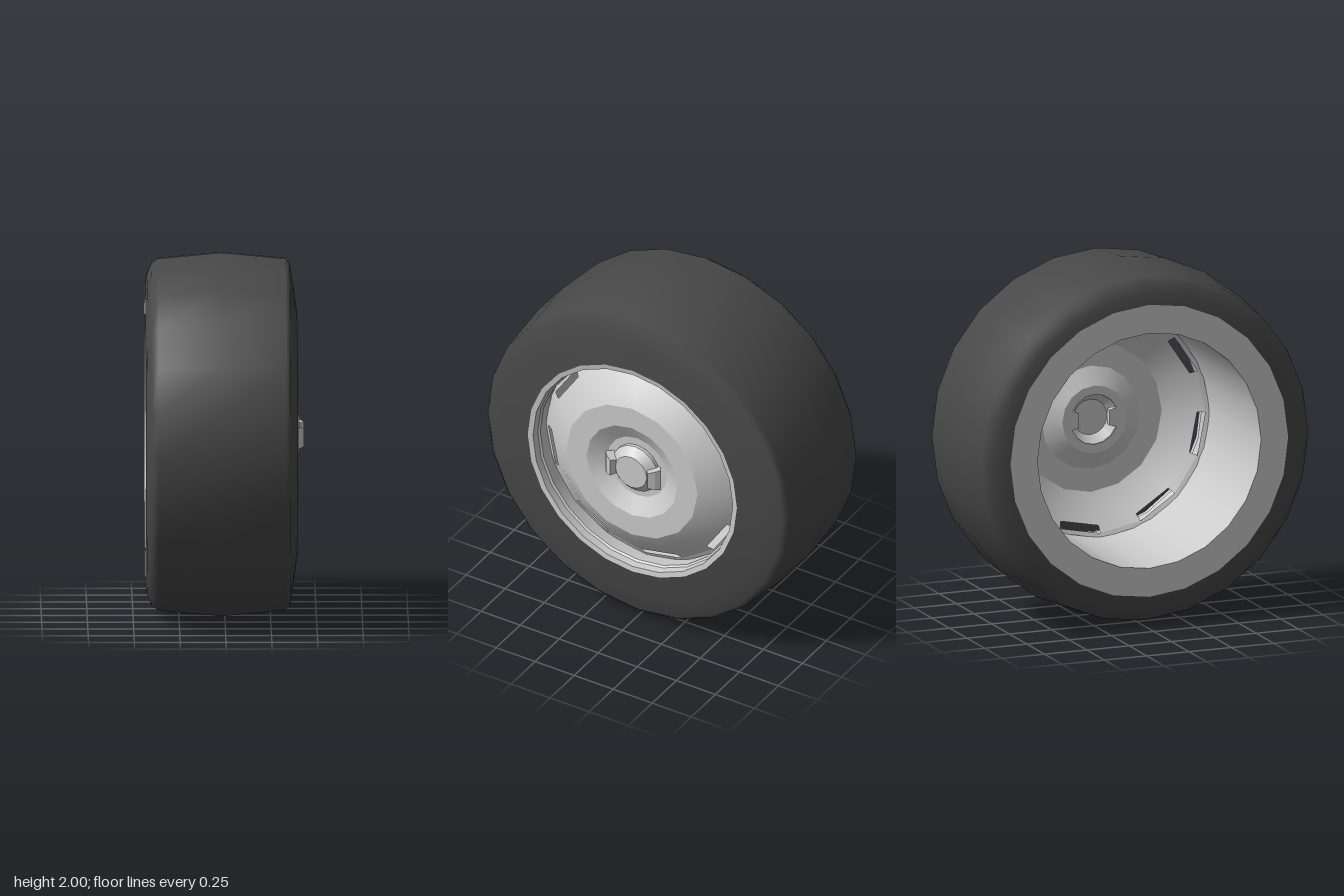
import * as THREE from 'three';
import { mergeGeometries } from 'three/addons/utils/BufferGeometryUtils.js';

const rubber = new THREE.MeshStandardMaterial({ color: 0x484848 });
const metal = new THREE.MeshStandardMaterial({ color: 0xcccccc, side: THREE.DoubleSide });

// Surface of revolution around the x axis; profile points are [x, radius].
function turn(profile, segments, start = 0, length = Math.PI * 2) {
  const points = profile.map(([x, r]) => new THREE.Vector2(r, x));
  return new THREE.LatheGeometry(points, segments, start, length).rotateZ(-Math.PI / 2);
}

// Several profiles joined in one mesh, with a sharp edge between each pair.
function turned(name, material, segments, profiles) {
  const mesh = new THREE.Mesh(mergeGeometries(profiles.map((p) => turn(p, segments))), material);
  mesh.name = name;
  return mesh;
}

export function createModel() {
  const model = new THREE.Group();
  model.name = 'wheel';
  const wheel = new THREE.Group();
  wheel.name = 'wheelParts';
  wheel.position.y = 1;
  model.add(wheel);

  // Tyre: inner sidewall, crowned tread, outer sidewall
  wheel.add(turned('tyre', rubber, 24, [[
    [-0.435, 0.82], [-0.425, 0.88], [-0.4, 0.94], [-0.365, 0.967], [-0.02, 1],
    [0.33, 0.967], [0.355, 0.94], [0.375, 0.82], [0.395, 0.67],
  ]]));

  // Rim: flat back ring, open barrel and stepped front lip
  wheel.add(turned('rimBack', metal, 24, [[[-0.435, 0.66], [-0.435, 0.82]]]));
  wheel.add(turned('rimBarrel', metal, 24, [[[0.25, 0.64], [-0.435, 0.66]]]));
  wheel.add(turned('rimLip', metal, 24, [
    [[0.395, 0.67], [0.39, 0.64]],
    [[0.39, 0.64], [0.345, 0.637]],
    [[0.345, 0.637], [0.335, 0.627]],
    [[0.335, 0.627], [0.25, 0.64]],
  ]));

  // Dished disc, flat ring, recess and recess floor
  wheel.add(turned('disc', metal, 16, [
    [[0.25, 0.645], [0.262, 0.62]],
    [[0.29, 0.583], [0.355, 0.5], [0.4, 0.42]],
    [[0.4, 0.42], [0.4, 0.29]],
    [[0.4, 0.29], [0.345, 0.19]],
    [[0.345, 0.19], [0.345, 0.14]],
  ]));

  // Webs between the eight vent slots
  const step = Math.PI / 8;
  const webs = [];
  for (let i = 0; i < 8; i++) {
    webs.push(turn([[0.262, 0.62], [0.29, 0.583]], 1, (2 * i + 1) * step, step));
  }
  const webMesh = new THREE.Mesh(mergeGeometries(webs), metal);
  webMesh.name = 'discWebs';
  wheel.add(webMesh);

  // Conical centre nut with a flat end
  wheel.add(turned('centreNut', metal, 16, [
    [[0.345, 0.145], [0.365, 0.145]],
    [[0.365, 0.145], [0.408, 0.1]],
    [[0.408, 0.1], [0.408, 0]],
  ]));

  // Two flared ears on the nut
  const section = new THREE.Shape([
    [0.09, 0.35], [0.15, 0.35], [0.178, 0.385], [0.155, 0.41], [0.12, 0.433], [0.1, 0.405],
  ].map(([z, x]) => new THREE.Vector2(z, x)));
  const ear = new THREE.ExtrudeGeometry(section, { depth: 2, bevelEnabled: false });
  ear.translate(0, 0, -1);
  const p = ear.attributes.position;
  for (let i = 0; i < p.count; i++) p.setZ(i, p.getZ(i) * (0.02 + 0.25 * p.getX(i)));
  ear.applyMatrix4(new THREE.Matrix4().makeBasis(
    new THREE.Vector3(0, 0, 1), new THREE.Vector3(1, 0, 0), new THREE.Vector3(0, 1, 0)));
  ear.computeVertexNormals();
  for (const [name, angle] of [['frontEar', 0], ['backEar', Math.PI]]) {
    const mesh = new THREE.Mesh(ear, metal);
    mesh.name = name;
    mesh.rotation.x = angle;
    wheel.add(mesh);
  }

  return model;
}
